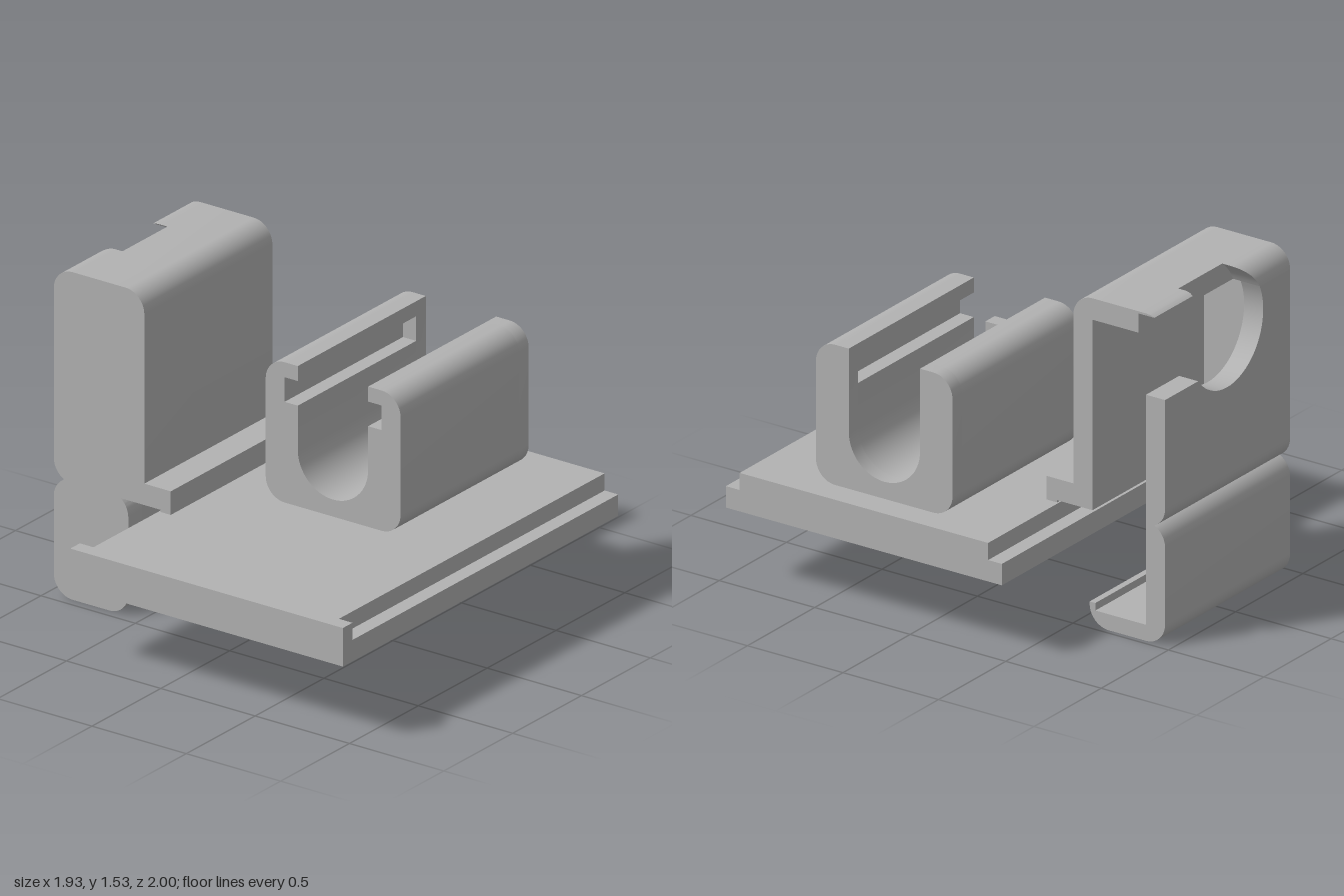
import * as THREE from 'three';
import { toCreasedNormals } from 'three/addons/utils/BufferGeometryUtils.js';

const grey = new THREE.MeshStandardMaterial({ color: 0xb2b2b2 });
grey.name = 'plain grey';

// Points along an arc, angles in degrees
function arc(cx, cy, r, a0, a1, n = 12) {
  return Array.from({ length: n + 1 }, (_, i) => {
    const a = THREE.MathUtils.degToRad(a0 + ((a1 - a0) * i) / n);
    return [cx + r * Math.cos(a), cy + r * Math.sin(a)];
  });
}

function part(name, geometry) {
  const mesh = new THREE.Mesh(toCreasedNormals(geometry, 0.5), grey);
  mesh.name = name;
  return mesh;
}

function extrude(points, depth) {
  const shape = new THREE.Shape(points.map(([x, y]) => new THREE.Vector2(x, y)));
  return new THREE.ExtrudeGeometry(shape, { depth, bevelEnabled: false });
}

// Front profile (x, y) pulled from z0 to z1
const alongZ = (name, points, z0, z1) => part(name, extrude(points, z1 - z0).translate(0, 0, z0));

// Side profile (-z, y) pulled from x0 to x1
const alongX = (name, points, x0, x1) =>
  part(name, extrude(points, x1 - x0).rotateY(Math.PI / 2).translate(x0, 0, 0));

function box(name, x0, x1, y0, y1, z0, z1) {
  const g = new THREE.BoxGeometry(x1 - x0, y1 - y0, z1 - z0);
  return part(name, g.translate((x0 + x1) / 2, (y0 + y1) / 2, (z0 + z1) / 2));
}

// Solid stacked upwards from rectangles {y, x0, x1, z0, z1}
function loft(name, rows) {
  const pos = [], index = [];
  rows.forEach(({ y, x0, x1, z0, z1 }) => pos.push(x0, y, z1, x1, y, z1, x1, y, z0, x0, y, z0));
  for (let i = 0; i < rows.length - 1; i++) {
    for (let j = 0; j < 4; j++) {
      const a = i * 4 + j, b = i * 4 + ((j + 1) % 4);
      index.push(a, b, b + 4, a, b + 4, a + 4);
    }
  }
  const t = (rows.length - 1) * 4;
  index.push(0, 2, 1, 0, 3, 2, t, t + 1, t + 2, t, t + 2, t + 3);
  const g = new THREE.BufferGeometry();
  g.setAttribute('position', new THREE.Float32BufferAttribute(pos, 3));
  g.setIndex(index);
  return part(name, g);
}

// Base plate with a rebate along both long edges, stopped at the front
function createBase() {
  const g = new THREE.Group();
  g.name = 'basePlate';
  g.add(
    box('plateBottom', -0.48, 0.965, 0.35, 0.45, -1, 1),
    box('plateTop', -0.408, 0.893, 0.45, 0.53, -1, 0.93),
    box('plateFrontLip', -0.48, 0.965, 0.45, 0.53, 0.93, 1),
  );
  return g;
}

// U-shaped cradle; its side slots are closed at the back
function createCradle() {
  const profile = (slotted) => {
    const left = slotted ? [[0.04, 1.115], [-0.03, 1.115], [-0.03, 1.0], [0.04, 1.0]] : [];
    const right = slotted ? [[0.413, 1.0], [0.485, 1.0], [0.485, 1.115], [0.413, 1.115]] : [];
    return [
      ...arc(-0.03, 0.63, 0.1, 180, 270), ...arc(0.485, 0.63, 0.1, 270, 360),
      ...arc(0.485, 1.085, 0.1, 0, 90), [0.413, 1.185], ...right.reverse(),
      ...arc(0.2265, 0.796, 0.1865, 0, -180, 32),
      ...left.reverse(), [0.04, 1.185], ...arc(-0.03, 1.085, 0.1, 90, 180),
    ];
  };
  const g = new THREE.Group();
  g.name = 'cradle';
  g.add(
    alongZ('cradleSlotted', profile(true), -0.8, 0.06),
    alongZ('cradleBack', profile(false), -0.87, -0.8),
  );
  return g;
}

// Hollow side cover, open at the back, with a round hole and slot in its outer wall
function createCover() {
  const back = -0.475, front = 0.455, inner = 0.355;
  const hole = { y: 1.315, z: -0.015, r: 0.27 };
  const half = (y) => Math.sqrt(hole.r ** 2 - (y - hole.y) ** 2);
  const outerX = (y) => -0.865 - Math.sqrt(Math.max(0, 0.01 - (y - 1.43) ** 2));
  const angle = (y, side) => THREE.MathUtils.radToDeg(Math.atan2(y - hole.y, side * half(y)));
  const g = new THREE.Group();
  g.name = 'sideCover';

  // Upper outer wall with the hole and the slot to the back
  g.add(alongX('outerWall', [
    [-front, 0.64], [-back, 0.64], [-back, 1.15],
    ...arc(-hole.z, hole.y, hole.r, angle(1.15, 1), angle(1.43, -1) - 360, 32),
    [-front, 1.43],
  ], -0.965, -0.865));

  // Rounded top corner, cut by the hole, and the thin lip above the slot
  const corner = Array.from({ length: 13 }, (_, i) => {
    const y = 1.43 + 0.1 * Math.sin((i / 12) * Math.PI / 2);
    return { y, x0: outerX(y), x1: -0.825, z0: hole.z + half(y), z1: front };
  });
  const lip = Array.from({ length: 7 }, (_, i) => {
    const y = 1.52 + (0.01 * i) / 6;
    return { y, x0: outerX(y), x1: -0.825, z0: back, z1: hole.z - half(y) };
  });
  g.add(loft('topCorner', corner), loft('slotLip', lip));

  // Top, inner wall and flange resting on the plate
  g.add(alongZ('topAndFlange', [
    [-0.825, 1.43], [-0.585, 1.43], [-0.585, 0.54], [-0.4, 0.54], [-0.4, 0.53],
    [-0.345, 0.53], [-0.345, 0.64], [-0.485, 0.64],
    ...arc(-0.585, 1.43, 0.1, 0, 90), [-0.825, 1.53],
  ], back, front));

  // Lower hook with the pinched waist and the small lip
  g.add(alongZ('lowerHook', [
    ...arc(-0.865, 0.64, 0.1, 180, 244.2), ...arc(-0.865, 0.46, 0.1, 115.8, 180).slice(1),
    ...arc(-0.865, 0.1, 0.1, 180, 270), ...arc(-0.67, 0.1, 0.1, 270, 360),
    [-0.57, 0.11], [-0.6, 0.11], [-0.6, 0.075], [-0.865, 0.075], [-0.865, 0.64],
  ], back, front));

  // Front wall closing the shell
  g.add(alongZ('frontWall', [
    [-0.865, 0.075], [-0.6, 0.075], [-0.6, 0.11], [-0.57, 0.11],
    ...arc(-0.67, 0.46, 0.1, 0, 53.13), [-0.585, 0.54], [-0.585, 1.43], [-0.865, 1.43],
  ], inner, front));
  return g;
}

export function createModel() {
  const model = new THREE.Group();
  model.name = 'slidingHolder';
  model.add(createBase(), createCradle(), createCover());
  return model;
}
